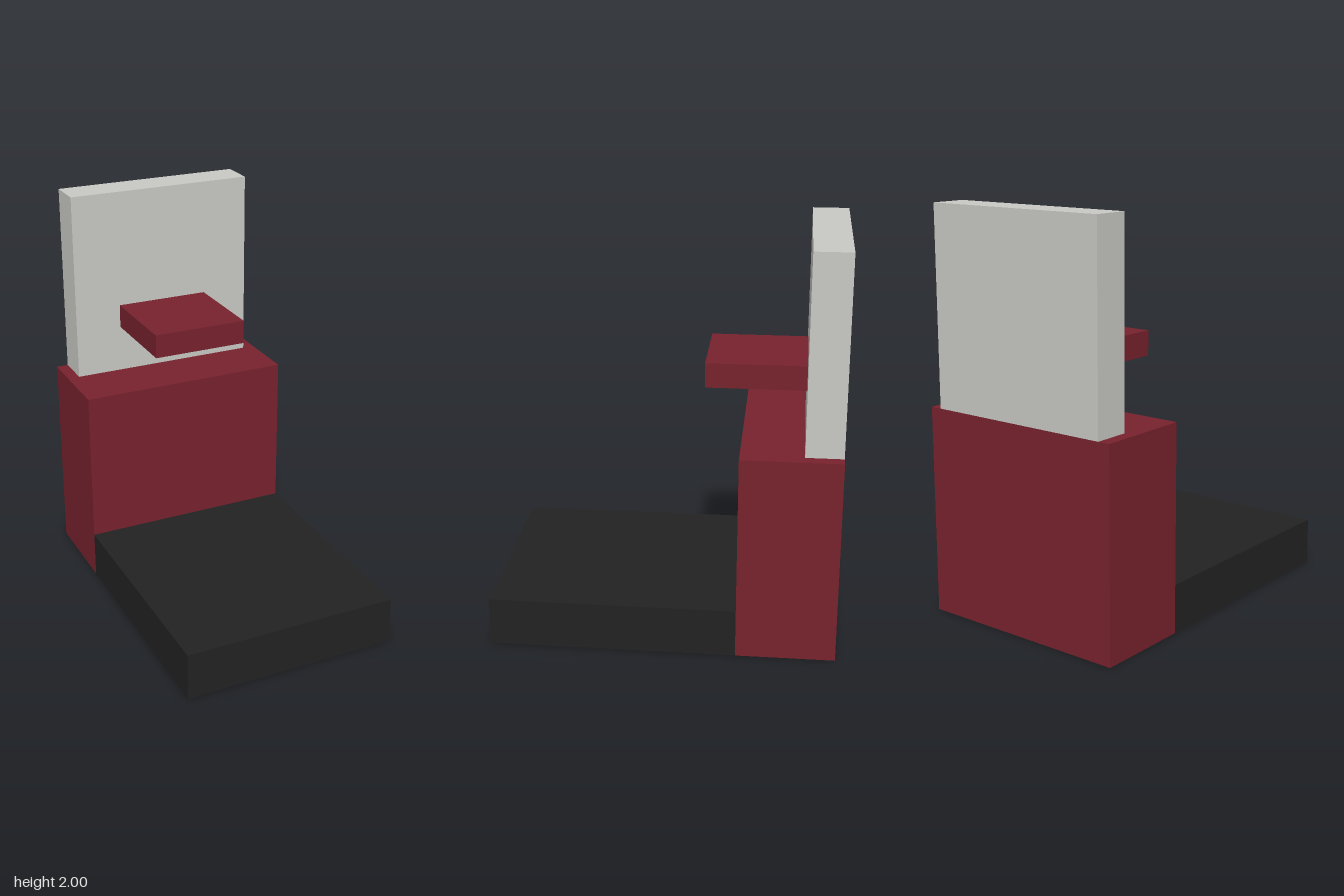
import * as THREE from 'three';

// All sizes are whole multiples of this unit (33 units = full height)
const U = 2 / 33;
const FACES = ['px', 'nx', 'py', 'ny', 'pz', 'nz'];

const paint = (name, color) => {
  const m = new THREE.MeshStandardMaterial({ color, side: THREE.DoubleSide });
  m.name = name;
  return m;
};

// Box from min/max corners in units, leaving the listed faces open
function openBox(name, min, max, material, open = []) {
  const size = max.map((v, i) => (v - min[i]) * U);
  const geo = new THREE.BoxGeometry(...size);
  const index = Array.from(geo.index.array);
  geo.setIndex(index.filter((_, i) => !open.includes(FACES[Math.floor(i / 6)])));
  geo.clearGroups();
  geo.translate(...max.map((v, i) => ((v + min[i]) / 2) * U));
  const mesh = new THREE.Mesh(geo, material);
  mesh.name = name;
  return mesh;
}

export function createModel() {
  const red = paint('dark red', 0x77222d);
  const black = paint('black', 0x222222);
  const grey = paint('light grey', 0xc8c8c3);

  const model = new THREE.Group();
  model.name = 'standWithPanel';
  model.add(
    // Low platform, hollow below and joined to the cabinet behind it
    openBox('platform', [-9, 0, -6], [9, 4, 14], black, ['ny', 'nz']),
    // Upright cabinet, hollow below
    openBox('cabinet', [-9, 0, -14], [9, 17, -6], red, ['ny']),
    // Tall back panel standing on the cabinet
    openBox('backPanel', [-8, 17, -14], [8, 33, -11], grey, ['ny']),
    // Shelf projecting from the panel
    openBox('shelf', [-4, 21, -11], [4, 23, -3], red, ['nz'])
  );
  return model;
}
